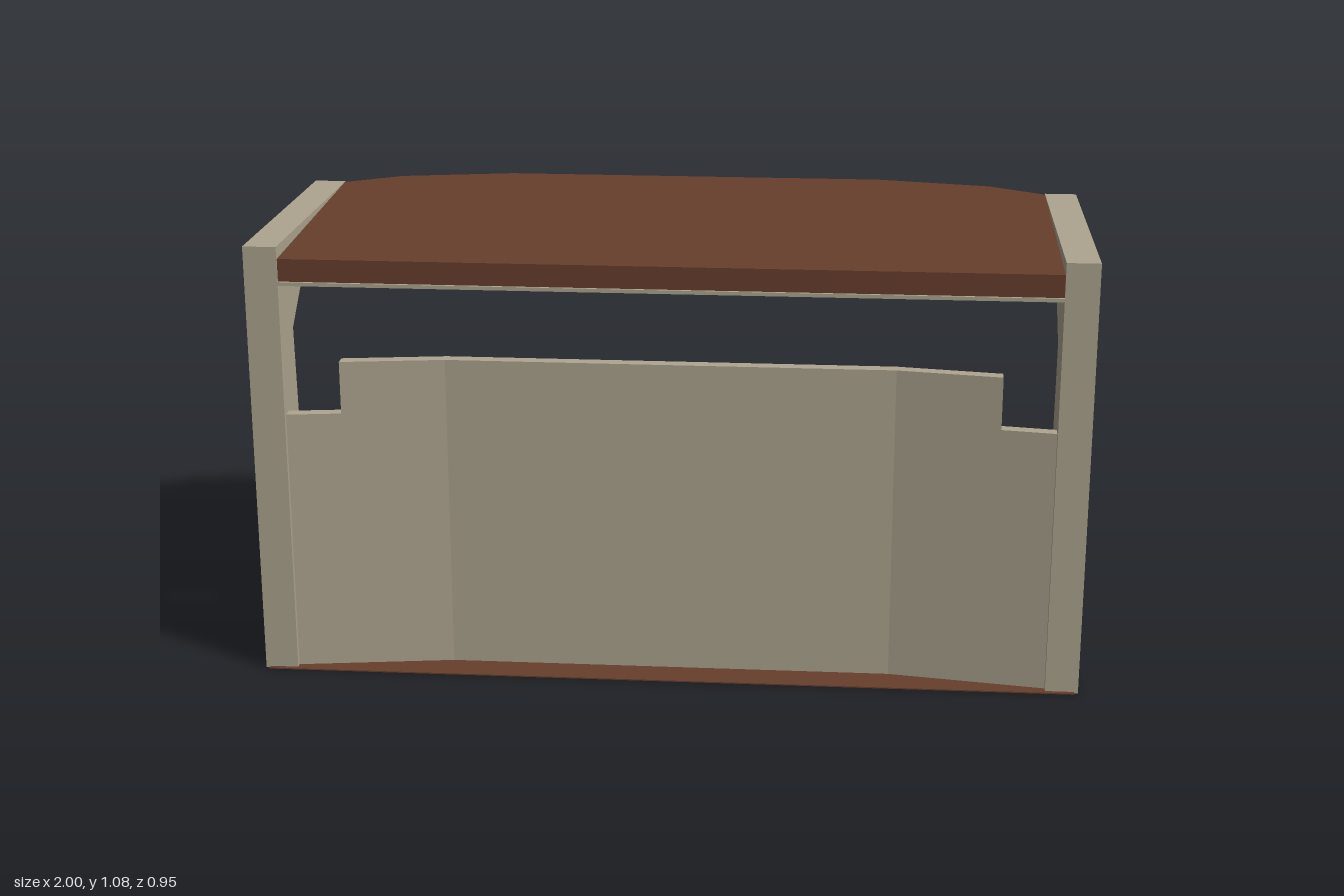
import * as THREE from 'three';

const stone = new THREE.MeshStandardMaterial({ color: 0xaea590 });
stone.name = 'beige stone';
const brown = new THREE.MeshStandardMaterial({ color: 0x683f2c });
brown.name = 'brown';

// Extrudes an outline of [x, z] points upward from y0 to y1.
function slab(name, outline, y0, y1, material) {
  const shape = new THREE.Shape(outline.map(([x, z]) => new THREE.Vector2(x, -z)));
  const geometry = new THREE.ExtrudeGeometry(shape, { depth: y1 - y0, bevelEnabled: false });
  geometry.rotateX(-Math.PI / 2).translate(0, y0, 0);
  const mesh = new THREE.Mesh(geometry, material);
  mesh.name = name;
  return mesh;
}

// Completes a half outline (x > 0) with its mirror image.
const mirrored = (half) => [...half, ...half.map(([x, z]) => [-x, z]).reverse()];

function box(name, w, h, d, x, y, z, material) {
  const mesh = new THREE.Mesh(new THREE.BoxGeometry(w, h, d), material);
  mesh.position.set(x, y, z);
  mesh.name = name;
  return mesh;
}

// Folded back wall band: the middle panel is set forward of the two wings.
function wallBand(name, halfWidth, y0, y1) {
  const t = 0.03;
  const zEnd = 0.395 + (halfWidth - 0.54) * 0.145;
  const outer = [[-halfWidth, zEnd], [-0.54, 0.395], [0.54, 0.395], [halfWidth, zEnd]];
  const inner = outer.map(([x, z]) => [x, z - t]).reverse();
  return slab(name, [...outer, ...inner], y0, y1, stone);
}

// Octagonal planter with a square soil patch.
function planter(name, x) {
  const group = new THREE.Group();
  group.name = name;
  const r = 0.125 / Math.cos(Math.PI / 8);
  const outline = [];
  for (let i = 0; i < 8; i++) {
    const a = Math.PI / 8 + (i * Math.PI) / 4;
    outline.push([r * Math.cos(a), r * Math.sin(a)]);
  }
  group.add(slab('planterBody', outline, 0, 0.188, stone));
  group.add(box('planterSoil', 0.13, 0.006, 0.13, 0, 0.189, 0, brown));
  group.position.set(x, 0, 0.29);
  return group;
}

// Lamp with a raised rim around a recessed lens.
function lamp(name, x) {
  const group = new THREE.Group();
  group.name = name;
  const rim = new THREE.Shape([[-0.08, -0.063], [0.08, -0.063], [0.08, 0.063], [-0.08, 0.063]]
    .map(([a, b]) => new THREE.Vector2(a, b)));
  rim.holes.push(new THREE.Path([[-0.068, -0.051], [-0.068, 0.051], [0.068, 0.051], [0.068, -0.051]]
    .map(([a, b]) => new THREE.Vector2(a, b))));
  const geometry = new THREE.ExtrudeGeometry(rim, { depth: 0.043, bevelEnabled: false });
  geometry.rotateX(-Math.PI / 2);
  const frame = new THREE.Mesh(geometry, stone);
  frame.name = 'lampRim';
  group.add(frame, box('lampLens', 0.14, 0.025, 0.106, 0, 0.0305, 0, stone));
  group.position.set(x, 0.943, 0.043);
  return group;
}

export function createModel() {
  const model = new THREE.Group();
  model.name = 'shelter';

  // Ground plate with cut corners
  model.add(slab('groundPlate',
    mirrored([[0.99, 0.475], [0.99, -0.34], [0.825, -0.48]]), 0.001, 0.004, brown));

  // Bracket-shaped side supports, profile in (z, y)
  const profile = new THREE.Shape([
    [0.465, 0], [0.465, 1.08], [-0.33, 1.05], [-0.33, 0.995],
    [0.2, 0.95], [0.335, 0.845], [0.28, 0],
  ].map(([z, y]) => new THREE.Vector2(z, y)));
  const supportGeometry = new THREE.ExtrudeGeometry(profile, { depth: 0.08, bevelEnabled: false });
  supportGeometry.rotateY(-Math.PI / 2);
  for (const [name, x] of [['leftSupport', 1], ['rightSupport', -0.92]]) {
    const support = new THREE.Mesh(supportGeometry, stone);
    support.position.x = x;
    support.name = name;
    model.add(support);
  }

  // Back wall, stepped down beside the supports
  model.add(wallBand('backWallLower', 0.92, 0, 0.66));
  model.add(wallBand('backWallUpper', 0.79, 0.66, 0.79));

  // Roof with a faceted bowed edge, and its soffit
  model.add(slab('roof',
    mirrored([[0.92, 0.46], [0.92, -0.32], [0.78, -0.4], [0.49, -0.455]]), 0.995, 1.05, brown));
  model.add(slab('soffit',
    mirrored([[0.92, 0.466], [0.92, -0.305], [0.775, -0.388], [0.485, -0.442]]), 0.986, 0.995, stone));

  // Paired planters and ceiling lamps
  for (const [side, s] of [['left', 1], ['right', -1]]) {
    model.add(planter(side + 'Planter', 0.79 * s));
    model.add(lamp(side + 'Lamp', 0.5 * s));
  }
  return model;
}
